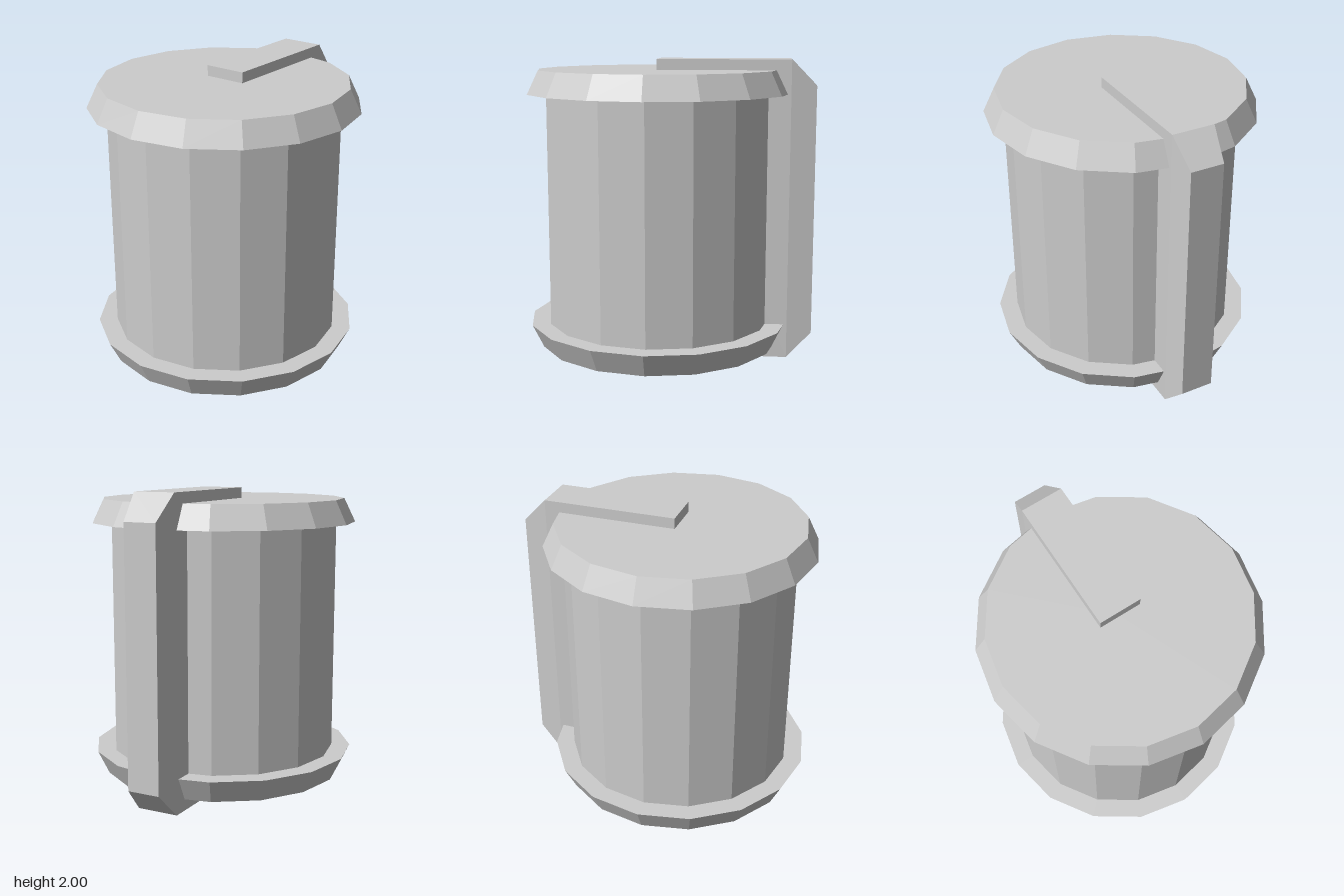
import * as THREE from 'three';
import { ConvexGeometry } from 'three/addons/geometries/ConvexGeometry.js';

const SIDES = 16;
const AXIS_Z = 0.08;

export function createModel() {
  const group = new THREE.Group();
  const grey = new THREE.MeshStandardMaterial({ color: 0xcccccc, flatShading: true });
  grey.name = 'lightGrey';

  function add(name, geometry, y = 0, z = 0) {
    const mesh = new THREE.Mesh(geometry, grey);
    mesh.name = name;
    mesh.position.set(0, y, z);
    group.add(mesh);
  }

  // Faceted drum
  add('drum', new THREE.CylinderGeometry(0.76, 0.76, 1.56, SIDES), 1, AXIS_Z);

  // Bevelled end caps, wide edges facing each other
  add('topCap', new THREE.CylinderGeometry(0.81, 0.885, 0.155, SIDES), 1.8525, AXIS_Z);
  add('bottomCap', new THREE.CylinderGeometry(0.885, 0.81, 0.155, SIDES), 0.1525, AXIS_Z);

  // Bracket over both caps and down the back: chamfered ends, tapered back.
  // Its middle is buried in the drum, so one convex solid is enough.
  const points = [];
  for (const sx of [-1, 1]) {
    for (const sy of [-1, 1]) {
      points.push(
        new THREE.Vector3(sx * 0.14, 1 + sy, AXIS_Z),
        new THREE.Vector3(sx * 0.14, 1 + sy, -0.8),
        new THREE.Vector3(sx * 0.11, 1 + sy * 0.83, -0.965),
      );
    }
  }
  add('bracket', new ConvexGeometry(points));

  return group;
}
